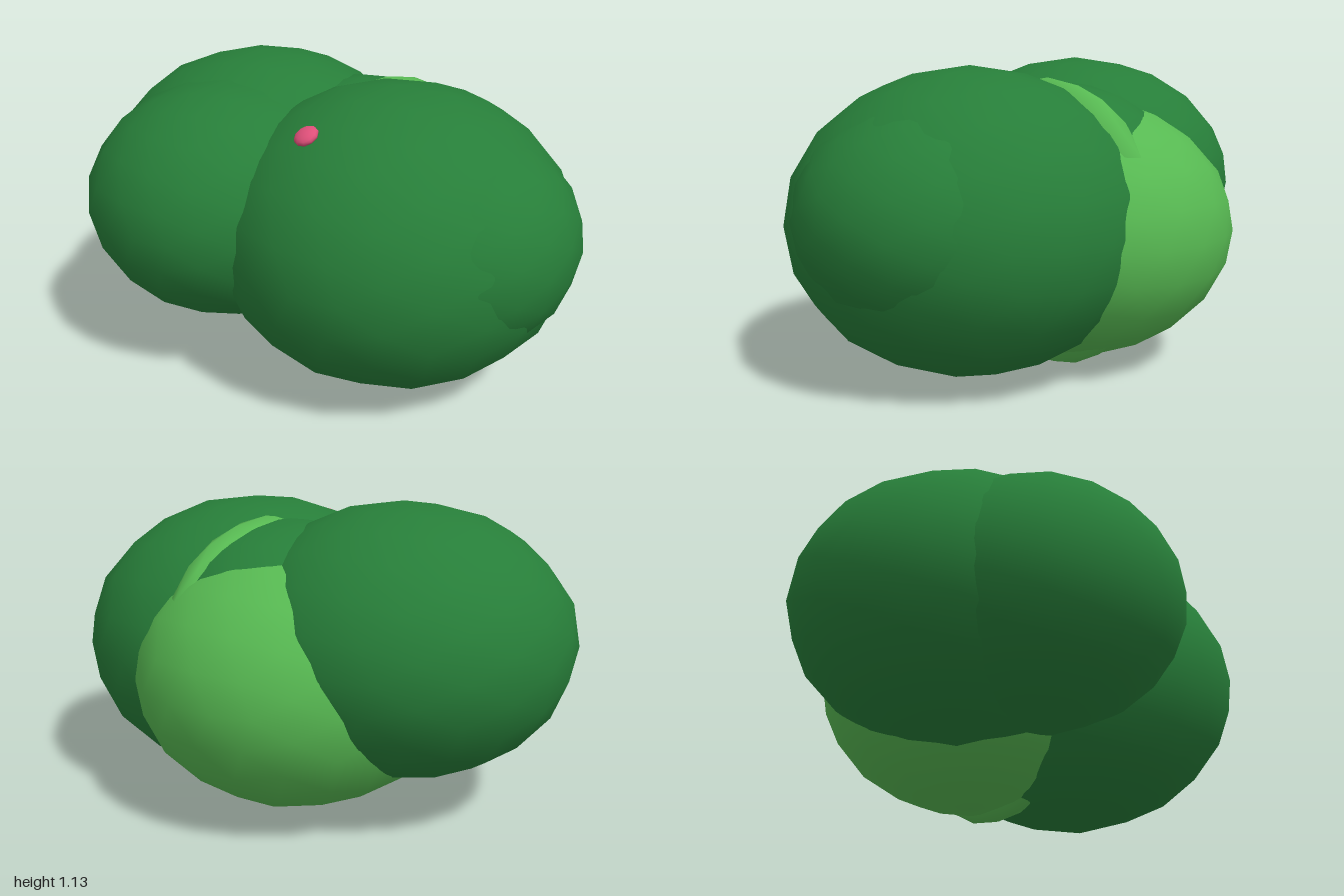
import * as THREE from 'three';

export function createModel() {
  const group = new THREE.Group();
  const mat = (name, color) => {
    const m = new THREE.MeshStandardMaterial({ color });
    m.name = name;
    return m;
  };
  const darkLeaf = mat('dark leaf green', 0x277e39);
  const lightLeaf = mat('light leaf green', 0x57b952);
  const berryPink = mat('berry pink', 0xe0507a);

  // Smooth, low-poly flattened ball with slightly uneven surface
  function clump(name, material, center, [rx, ry, rz], phase) {
    const geo = new THREE.IcosahedronGeometry(1, 3);
    const p = geo.attributes.position;
    const n = geo.attributes.normal;
    const v = new THREE.Vector3();
    for (let i = 0; i < p.count; i++) {
      v.fromBufferAttribute(p, i).normalize();
      n.setXYZ(i, v.x, v.y, v.z);
      const k = 1 + 0.008 * Math.sin(7 * v.x + phase) * Math.sin(6 * v.y + 5 * v.z + phase);
      p.setXYZ(i, v.x * k, v.y * k, v.z * k);
    }
    geo.scale(rx, ry, rz);
    const mesh = new THREE.Mesh(geo, material);
    mesh.name = name;
    mesh.position.set(...center);
    group.add(mesh);
  }

  // Overlapping foliage clumps
  clump('frontFoliage', darkLeaf, [0.075, 0.555, 0.3], [0.668, 0.555, 0.668], 0);
  clump('backFoliage', darkLeaf, [-0.02, 0.635, -0.37], [0.63, 0.495, 0.63], 1.3);
  clump('rightFoliage', darkLeaf, [-0.275, 0.62, -0.25], [0.552, 0.45, 0.552], 2.1);
  clump('leftLightFoliage', lightLeaf, [0.23, 0.508, -0.085], [0.597, 0.488, 0.597], 3.2);
  clump('middleFoliage', darkLeaf, [0.18, 0.625, 0], [0.53, 0.428, 0.53], 4.4);
  clump('frontBump', darkLeaf, [0.122, 0.592, 0.5], [0.5, 0.42, 0.5], 0);

  // Narrow light crest showing between the front and middle clumps
  clump('lightCrest', lightLeaf, [0.24, 0.535, 0.07], [0.5, 0.53, 0.17], 3.2);

  // Flattened berry resting on the sloping top of the front clump
  const berry = new THREE.Mesh(new THREE.SphereGeometry(1, 10, 8), berryPink);
  berry.name = 'berry';
  berry.scale.set(0.045, 0.022, 0.045);
  berry.position.set(-0.327, 1.0, 0.29);
  berry.rotation.z = 0.55;
  group.add(berry);

  return group;
}
